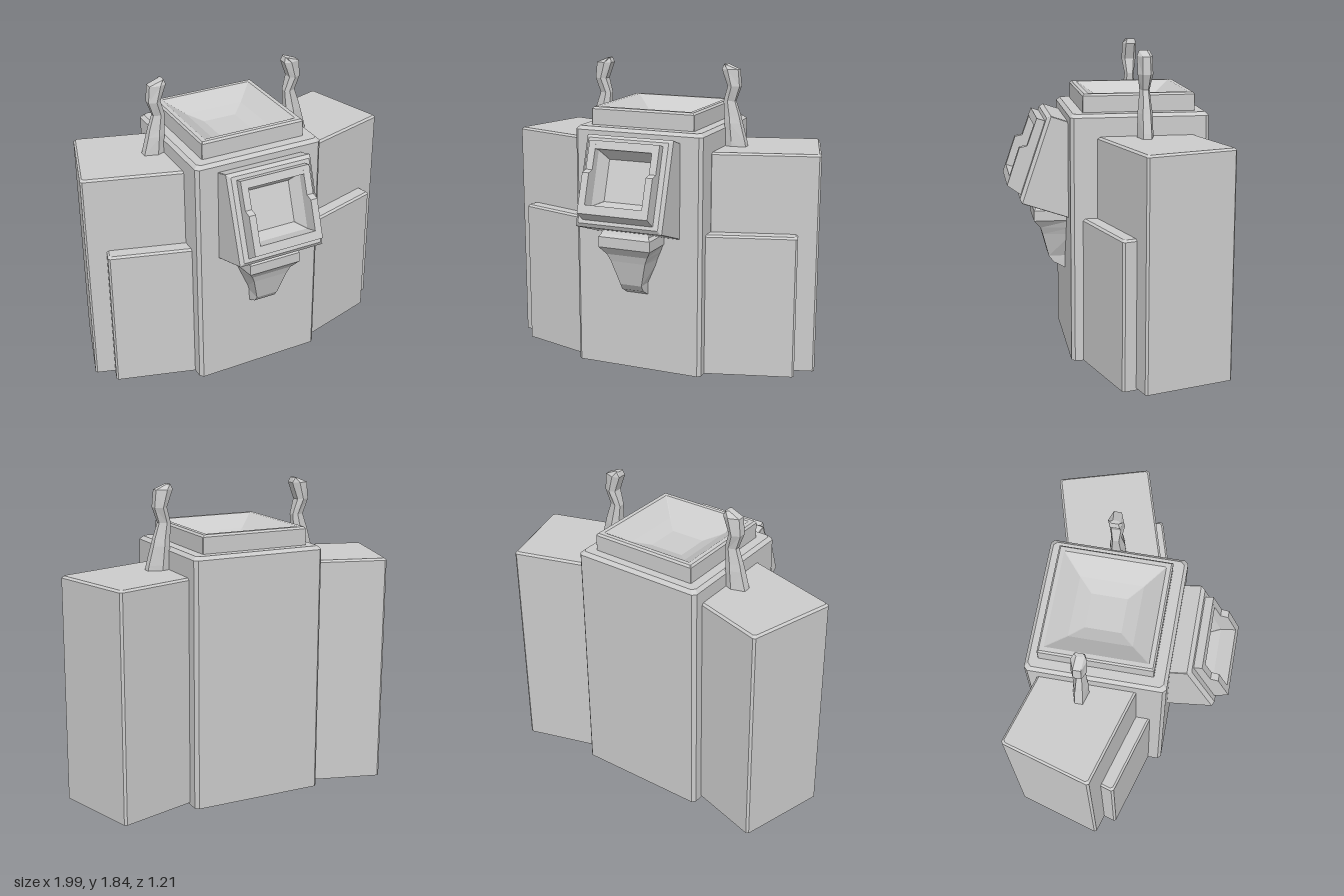
import * as THREE from 'three';

const material = new THREE.MeshStandardMaterial({
  color: 0xcccccc, flatShading: true, side: THREE.DoubleSide,
});
const CX = -0.0225; // centre line of the body

// Rectangle with cut corners, counter-clockwise, at height h
function rect(x0, x1, y0, y1, h, c = 0.015) {
  return [
    [x0 + c, y0], [x1 - c, y0], [x1, y0 + c], [x1, y1 - c],
    [x1 - c, y1], [x0 + c, y1], [x0, y1 - c], [x0, y0 + c],
  ].map(([x, y]) => [x, y, h]);
}
const square = (r, h, c) => rect(-r, r, -r, r, h, c);

// Skin joining successive rings along +z, closed by a cap on the last ring
function loft(rings, capStart = false) {
  const pos = [];
  const tri = (...pts) => pts.forEach((p) => pos.push(...p));
  for (let k = 0; k + 1 < rings.length; k++) {
    const a = rings[k], b = rings[k + 1], n = a.length;
    for (let i = 0; i < n; i++) {
      const j = (i + 1) % n;
      tri(a[i], a[j], b[j]);
      tri(a[i], b[j], b[i]);
    }
  }
  const end = rings[rings.length - 1], start = rings[0];
  for (let i = 1; i + 1 < end.length; i++) {
    tri(end[0], end[i], end[i + 1]);
    if (capStart) tri(start[0], start[i + 1], start[i]);
  }
  const g = new THREE.BufferGeometry();
  g.setAttribute('position', new THREE.Float32BufferAttribute(pos, 3));
  g.computeVertexNormals();
  return g;
}

// Same skin, standing up: ring coordinates are (x, -z, y)
const loftUp = (rings, capStart) => loft(rings, capStart).rotateX(-Math.PI / 2);

function add(parent, name, geometry, x = 0, y = 0, z = 0) {
  const mesh = new THREE.Mesh(geometry, material);
  mesh.name = name;
  mesh.position.set(x, y, z);
  parent.add(mesh);
  return mesh;
}

// Upright case, open below, with bevelled upright and top edges
function openCase(w, d, y0, y1, b) {
  const ring = (inset, y) =>
    rect(-w / 2 + inset, w / 2 - inset, -d / 2 + inset, d / 2 - inset, y, b);
  return loftUp([ring(0, y0), ring(0, y1 - b), ring(b, y1)]);
}

// Curved upright prong: levels of [y, outer x, inner x, half depth]
function prongGeometry() {
  const levels = [
    [1.33, -0.56, -0.42, 0.047], [1.38, -0.55, -0.42, 0.047],
    [1.49, -0.52, -0.42, 0.044], [1.53, -0.51, -0.417, 0.038],
    [1.62, -0.48, -0.41, 0.03], [1.71, -0.51, -0.437, 0.045],
    [1.81, -0.5, -0.4, 0.045], [1.84, -0.43, -0.41, 0.03],
  ];
  return loftUp(levels.map(([y, xo, xi, d]) => {
    const m = xo + (xi - xo) * 0.6;
    return [[xo, -d * 0.5], [m, -d], [xi, -d * 0.6], [xi, d * 0.6], [m, d], [xo, d * 0.5]]
      .map(([x, z]) => [x, z, y]);
  }));
}

// Side profile given as (z, y), extruded along x to the given width
function profileX(points, width) {
  const shape = new THREE.Shape(points.map(([z, y]) => new THREE.Vector2(-z, y)));
  return new THREE.ExtrudeGeometry(shape, { depth: width, bevelEnabled: false })
    .translate(0, 0, -width / 2).rotateY(Math.PI / 2);
}

// Tilted front housing with a recessed window and a stepped frame
function createViewer() {
  const viewer = new THREE.Group();
  viewer.name = 'frontViewer';
  viewer.position.set(CX, 1.2025, 0.4575);
  viewer.rotation.x = -0.328;

  add(viewer, 'viewerHousing', loft([
    square(0.272, -0.33, 0.003), square(0.272, -0.02, 0.003), square(0.252, 0, 0.003),
    rect(-0.178, 0.178, -0.15, 0.181, 0, 0.001),
    rect(-0.135, 0.135, -0.11, 0.14, -0.07, 0.001),
  ]));

  const side = [
    [-0.005, 0.23], [0.05, 0.23], [0.053, 0.058], [0.093, 0.034],
    [0.093, -0.203], [0.003, -0.231], [-0.005, -0.231],
  ];
  for (const s of [-1, 1]) {
    add(viewer, 'windowSide', profileX(side, 0.042), s * 0.199);
  }
  add(viewer, 'windowTop', new THREE.BoxGeometry(0.36, 0.049, 0.055), 0, 0.2055, 0.0225);
  add(viewer, 'windowSill', profileX([
    [-0.005, -0.15], [0.093, -0.15], [0.093, -0.203], [0.003, -0.231], [-0.005, -0.231],
  ], 0.36));
  return viewer;
}

export function createModel() {
  const model = new THREE.Group();
  model.name = 'model';

  // Central body
  add(model, 'body', openCase(0.815, 0.81, 0, 1.48, 0.02), CX, 0, -0.15);

  // Raised rim with a stepped funnel
  add(model, 'topFunnel', loftUp([
    square(0.33, 1.47, 0.003), square(0.33, 1.575, 0.003), square(0.32, 1.587, 0.003),
    square(0.295, 1.587, 0.003), square(0.185, 1.515, 0.003), square(0.105, 1.484, 0.003),
  ]), -0.025, 0, -0.155);

  // Angled side cases, each with a lower panel in front
  for (const s of [-1, 1]) {
    const drop = s > 0 ? 0.03 : 0;
    const wing = add(model, s > 0 ? 'leftWing' : 'rightWing',
      openCase(0.65, 0.547, 0.012, 1.38 - drop, 0.012), s * 0.61, 0, -0.252);
    const panel = add(model, s > 0 ? 'leftPanel' : 'rightPanel',
      openCase(0.56, 0.1, 0, 0.9 - drop, 0.012), s * 0.622, 0, 0.062);
    wing.rotation.y = panel.rotation.y = s * 0.288;
  }

  // Pair of prongs, mirrored about the body's centre line
  add(model, 'rightProng', prongGeometry(), 0, 0, -0.22);
  add(model, 'leftProng', prongGeometry(), 2 * CX, 0, -0.17).scale.x = -1;

  model.add(createViewer());

  // Tapering spout below the viewer: levels of [y, half width, front half width, front z]
  const spout = [
    [0.485, 0.068, 0.068, 0.26], [0.52, 0.069, 0.069, 0.325],
    [0.56, 0.07, 0.069, 0.355], [0.71, 0.135, 0.11, 0.395],
    [0.755, 0.153, 0.13, 0.41], [0.805, 0.172, 0.165, 0.45],
    [0.868, 0.172, 0.165, 0.45], [0.885, 0.155, 0.15, 0.435], [0.91, 0.155, 0.15, 0.42],
  ];
  add(model, 'spout', loftUp(spout.map(([y, w, f, z]) =>
    [[-f, -z, y], [f, -z, y], [w, -0.22, y], [-w, -0.22, y]]), true), CX);

  return model;
}
